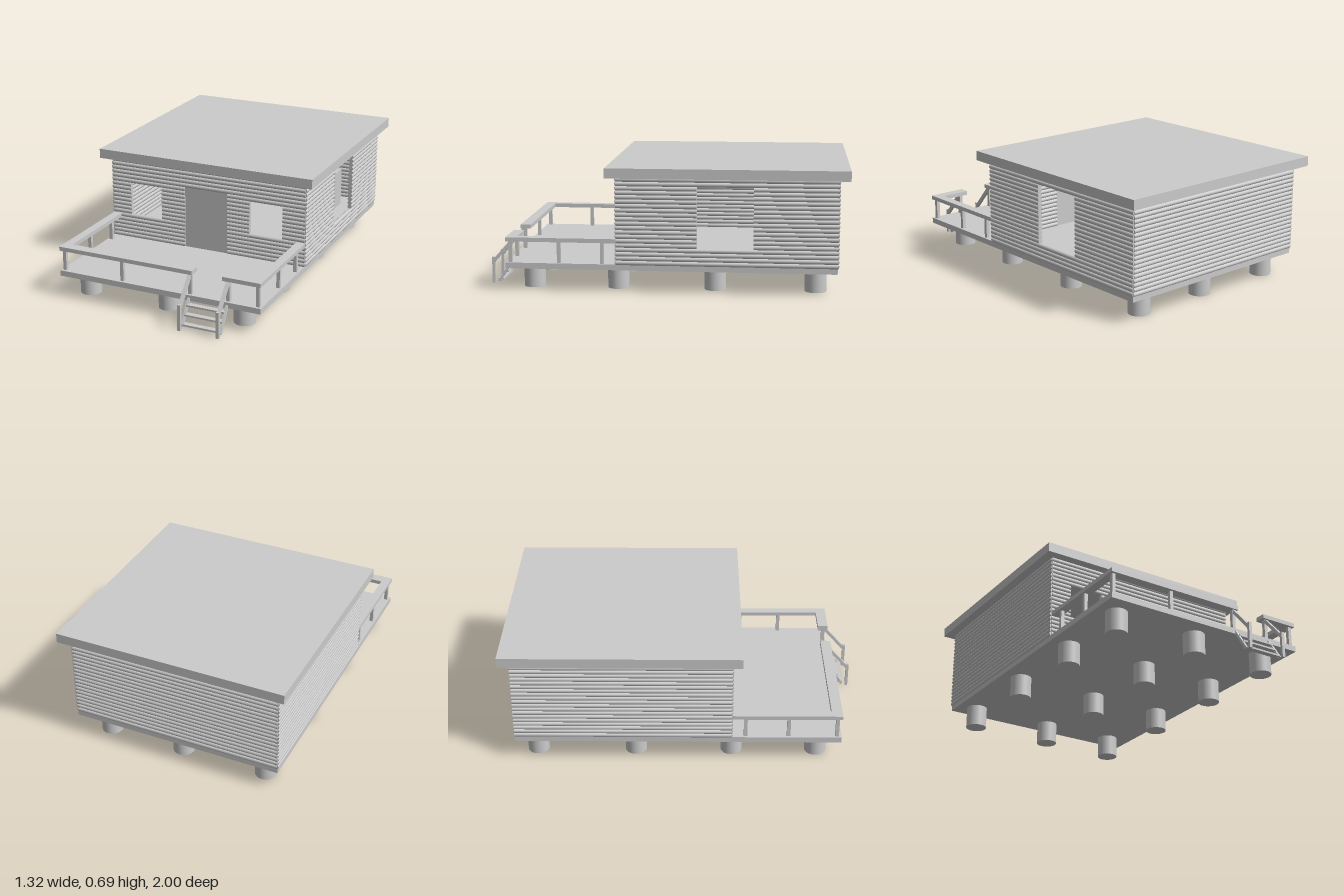
import * as THREE from 'three';

const material = new THREE.MeshStandardMaterial({ color: 0xcccccc });

export function createModel() {
  const model = new THREE.Group();
  model.name = 'logCabin';

  const group = (name) => {
    const g = new THREE.Group();
    g.name = name;
    model.add(g);
    return g;
  };

  // Box given by its min and max on each axis
  const box = (parent, name, [x0, x1], [y0, y1], [z0, z1]) => {
    const mesh = new THREE.Mesh(new THREE.BoxGeometry(x1 - x0, y1 - y0, z1 - z0), material);
    mesh.position.set((x0 + x1) / 2, (y0 + y1) / 2, (z0 + z1) / 2);
    mesh.name = name;
    parent.add(mesh);
    return mesh;
  };

  // Beam sloping in the y-z plane between two [y, z] points
  const slopedBeam = (parent, name, x, a, b, width, thickness) => {
    const dy = b[0] - a[0], dz = b[1] - a[1];
    const mesh = new THREE.Mesh(new THREE.BoxGeometry(width, thickness, Math.hypot(dy, dz)), material);
    mesh.position.set(x, (a[0] + b[0]) / 2, (a[1] + b[1]) / 2);
    mesh.rotation.x = -Math.atan2(dy, dz);
    mesh.name = name;
    parent.add(mesh);
  };

  // Foundation piles, floor deck and flat roof
  const piles = group('foundationPiles');
  const pileGeometry = new THREE.CylinderGeometry(0.06, 0.06, 0.126, 32);
  for (const x of [-0.49, 0.005, 0.457]) {
    for (const z of [0.745, 0.27, -0.27, -0.825]) {
      const pile = new THREE.Mesh(pileGeometry, material);
      pile.name = 'pile';
      pile.position.set(x, 0.063, z);
      piles.add(pile);
    }
  }
  box(model, 'floorDeck', [-0.605, 0.605], [0.125, 0.157], [-0.94, 0.88]);
  box(model, 'roof', [-0.66, 0.66], [0.64, 0.695], [-1, 0.32]);

  // Log walls: every row is split where an opening crosses it
  const floorY = 0.155, rows = 20, pitch = 0.485 / rows;
  const logWall = (name, axis, offset, from, to, openings = []) => {
    const wall = group(name);
    for (let i = 0; i < rows; i++) {
      const y = floorY + (i + 0.5) * pitch;
      const cuts = openings.filter((o) => y > o.y0 && y < o.y1).sort((a, b) => a.from - b.from);
      let start = from;
      for (const cut of [...cuts, { from: to, to }]) {
        const log = new THREE.Mesh(
          new THREE.CylinderGeometry(0.0135, 0.0135, cut.from - start, 14), material);
        const middle = (start + cut.from) / 2;
        if (axis === 'x') {
          log.rotation.z = Math.PI / 2;
          log.position.set(middle, y, offset);
        } else {
          log.rotation.x = Math.PI / 2;
          log.position.set(offset, y, middle);
        }
        log.name = 'log';
        wall.add(log);
        start = cut.to;
      }
    }
  };
  logWall('frontWall', 'x', 0.26, -0.605, 0.605, [
    { from: -0.485, to: -0.285, y0: 0.3, y1: 0.5 },
    { from: -0.135, to: 0.132, y0: 0.15, y1: 0.525 },
    { from: 0.27, to: 0.47, y0: 0.3, y1: 0.5 },
  ]);
  logWall('backWall', 'x', -0.935, -0.605, 0.605);
  logWall('leftWall', 'z', 0.599, -0.943, 0.267, [{ from: -0.485, to: -0.177, y0: 0.255, y1: 0.585 }]);
  logWall('rightWall', 'z', -0.599, -0.943, 0.267);

  // Door panel, and the small cabinet inside
  box(model, 'door', [-0.135, 0.132], [0.157, 0.522], [0.25, 0.266]);
  box(model, 'cabinet', [0.31, 0.43], [0.157, 0.388], [-0.8, -0.68]);

  // Porch railing with a gap for the stairs
  const railing = group('porchRailing');
  const railY = [0.275, 0.298], postY = [0.157, 0.276];
  box(railing, 'frontRail', [-0.605, 0.21], railY, [0.82, 0.88]);
  box(railing, 'frontRailShort', [0.385, 0.605], railY, [0.82, 0.88]);
  const post = (x, z) =>
    box(railing, 'railPost', [x - 0.01, x + 0.01], postY, [z - 0.01, z + 0.01]);
  for (const side of [-1, 1]) {
    const x = side * 0.58;
    box(railing, 'sideRail', [x - 0.025, x + 0.025], railY, [0.265, 0.82]);
    for (const z of [0.345, 0.585, 0.855]) post(x + side * 0.003, z);
  }
  for (const x of [-0.222, 0.19, 0.413]) post(x, 0.855);

  // Stairs with stringers, newel posts and sloping handrails
  const stairs = group('stairs');
  for (const x of [0.19, 0.413]) {
    box(stairs, 'newelPost', [x - 0.009, x + 0.009], [0, 0.148], [0.984, 1]);
    slopedBeam(stairs, 'handrail', x, [0.125, 0.99], [0.27, 0.862], 0.018, 0.018);
    slopedBeam(stairs, 'stringer', x, [0.008, 0.963], [0.14, 0.875], 0.014, 0.014);
  }
  for (const [y, z] of [[0.02, 0.951], [0.065, 0.923], [0.108, 0.895]]) {
    box(stairs, 'step', [0.19, 0.413], [y - 0.005, y + 0.005], [z - 0.016, z + 0.016]);
  }

  return model;
}
